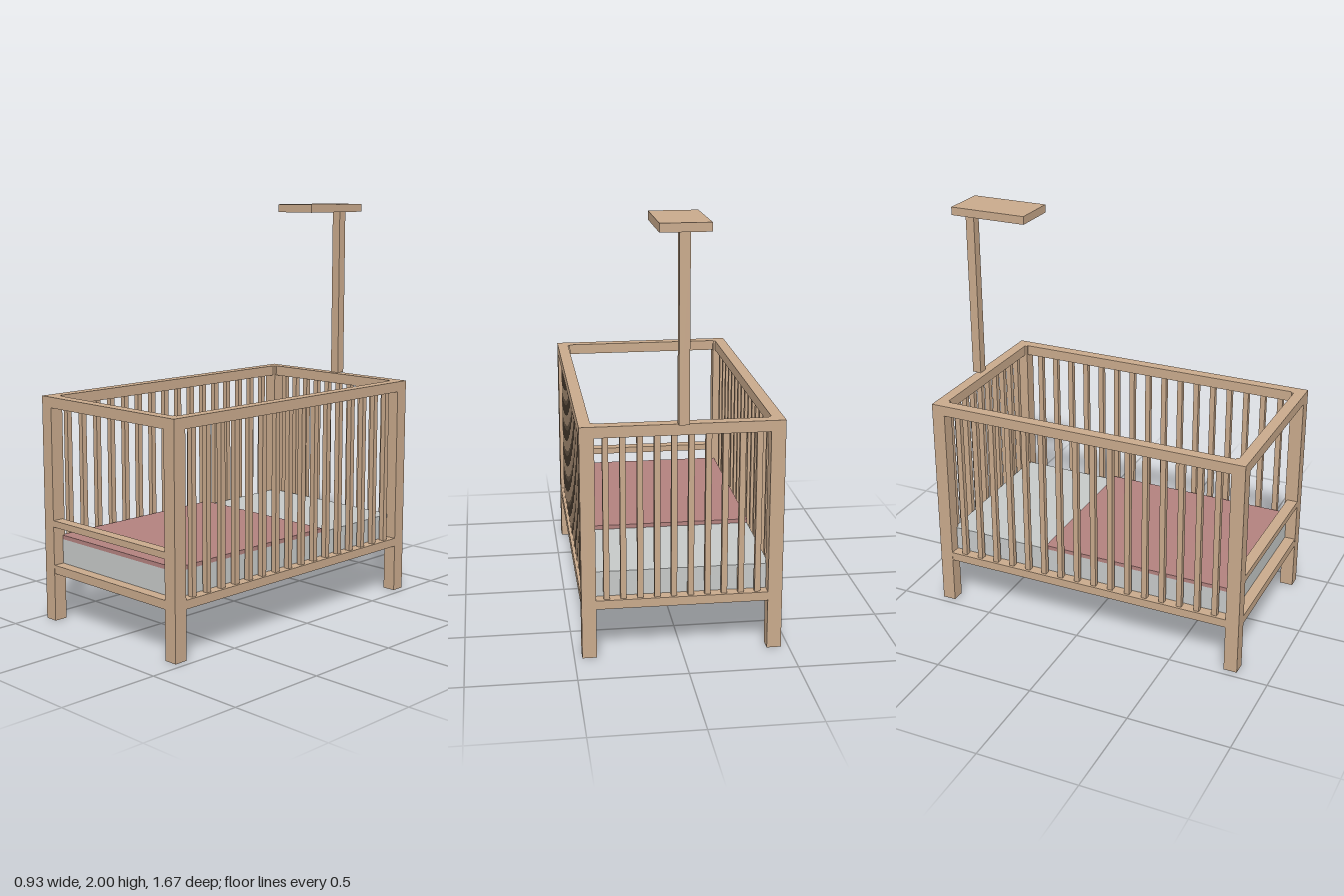
import * as THREE from 'three';

export function createModel() {
  const crib = new THREE.Group();
  crib.name = 'crib';

  const mat = (name, color) => {
    const m = new THREE.MeshStandardMaterial({ color });
    m.name = name;
    return m;
  };
  const wood = mat('wood', 0xc9aa8c);
  const grey = mat('mattress grey', 0xc6c9c8);
  const pink = mat('blanket pink', 0xb3827f);

  // Box given by its limits on each axis
  const box = (name, material, [x0, x1], [y0, y1], [z0, z1]) => {
    const mesh = new THREE.Mesh(new THREE.BoxGeometry(x1 - x0, y1 - y0, z1 - z0), material);
    mesh.position.set((x0 + x1) / 2, (y0 + y1) / 2, (z0 + z1) / 2);
    mesh.name = name;
    crib.add(mesh);
  };

  const W = 0.464, FRONT = 0.835, BACK = -0.79; // outer limits of the frame
  const POST = 0.067, RAIL = 0.055;             // thicknesses
  const TOP = 1.105, RAIL_Y = 1.053, BASE = 0.238, FLOOR = 0.28;
  const frontRail = [FRONT - RAIL, FRONT], backRail = [BACK, BACK + RAIL];
  const inner = W - POST;

  // Corner posts and side rails
  for (const s of [-1, 1]) {
    const xs = (a, b) => (s > 0 ? [a, b] : [-b, -a]);
    box('frontPost', wood, xs(inner, W), [0, TOP], [FRONT - POST, FRONT]);
    box('backPost', wood, xs(inner, W), [0, TOP], [BACK, BACK + POST]);
    box('sideTopRail', wood, xs(W - RAIL, W), [RAIL_Y, TOP], [BACK + POST, FRONT - POST]);

    // Side slats
    for (let i = 0; i < 16; i++) {
      const z = 0.704 - i * 0.0907;
      box('sideSlat', wood, xs(W - 0.041, W - 0.014), [FLOOR, RAIL_Y], [z - 0.0135, z + 0.0135]);
    }
  }

  // End rails, with a low guard rail at the open front
  box('frontTopRail', wood, [-inner, inner], [RAIL_Y, TOP], frontRail);
  box('backTopRail', wood, [-inner, inner], [RAIL_Y, TOP], backRail);
  box('frontGuardRail', wood, [-inner, inner], [0.47, 0.502], frontRail);

  // Back slats
  for (let i = 0; i < 10; i++) {
    const x = -0.35 + i * 0.0775;
    box('backSlat', wood, [x - 0.0135, x + 0.0135], [FLOOR, RAIL_Y], [BACK + 0.014, BACK + 0.041]);
  }

  // Base panel, fitted between the outer post faces
  box('basePanel', wood, [-W + 0.001, W - 0.001], [BASE, FLOOR], [BACK + 0.001, FRONT - 0.001]);

  // Bedding
  box('mattress', grey, [-0.409, 0.409], [FLOOR, 0.4], [BACK + RAIL, FRONT - RAIL]);
  box('blanket', pink, [-0.41, 0.41], [0.4, 0.42], [-0.207, FRONT - RAIL]);

  // Canopy pole and its top plate
  box('canopyPole', wood, [-0.024, 0.024], [TOP, 1.96], [-0.812, -0.767]);
  box('canopyPlate', wood, [-0.114, 0.114], [1.96, 2], [-0.836, -0.441]);

  return crib;
}
